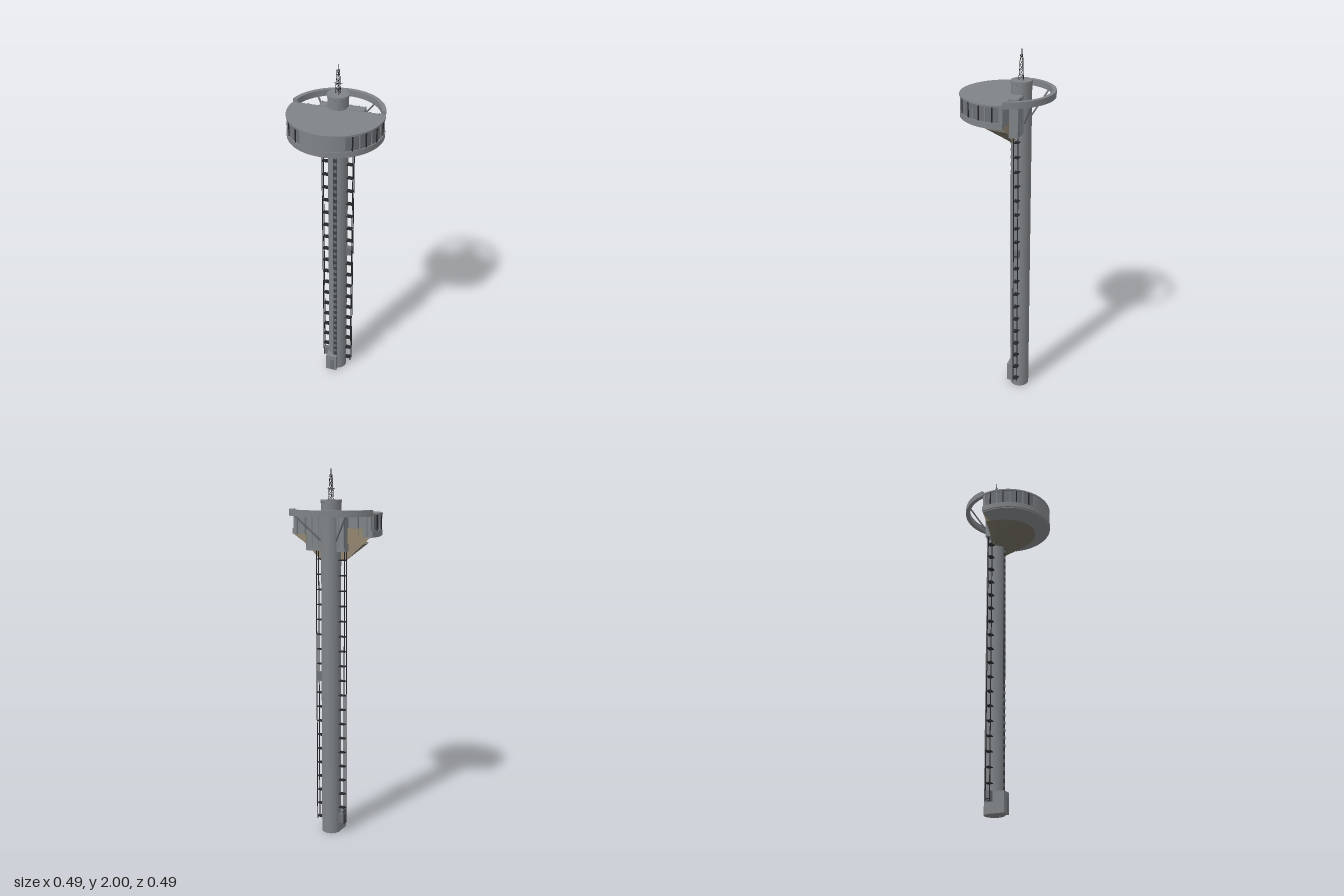
import * as THREE from 'three';
import { toCreasedNormals } from 'three/addons/utils/BufferGeometryUtils.js';

const material = (name, color, side = THREE.FrontSide) => {
  const m = new THREE.MeshStandardMaterial({ color, side });
  m.name = name;
  return m;
};

const CX = -0.01, CZ = -0.07, BACK = -0.05; // shaft axis and the flat back of the cabin

export function createModel() {
  const concrete = material('concrete grey', 0x7f8386);
  const panel = material('window grey', 0x6c7074);
  const dark = material('dark steel', 0x25262a);
  const strip = material('stair window dark', 0x3d4047);
  const under = material('underside brown grey', 0x6f6a60, THREE.DoubleSide);
  const tan = material('tan wall', 0x93866f, THREE.DoubleSide);

  const root = new THREE.Group();
  root.name = 'tower';
  const add = (name, geometry, mat, parent = root) => {
    const mesh = new THREE.Mesh(geometry, mat);
    mesh.name = name;
    parent.add(mesh);
    return mesh;
  };
  const group = (name) => {
    const g = new THREE.Group();
    g.name = name;
    root.add(g);
    return g;
  };
  // Box given by its limits on each axis
  const box = (name, [x0, x1], [y0, y1], [z0, z1], mat, parent) => {
    const mesh = add(name, new THREE.BoxGeometry(x1 - x0, y1 - y0, z1 - z0), mat, parent);
    mesh.position.set((x0 + x1) / 2, (y0 + y1) / 2, (z0 + z1) / 2);
    return mesh;
  };
  // Round bar between two points
  const bar = (name, a, b, r, mat, parent) => {
    const p = new THREE.Vector3(...a), d = new THREE.Vector3(...b).sub(p);
    const mesh = add(name, new THREE.CylinderGeometry(r, r, d.length(), 6), mat, parent);
    mesh.position.copy(p).addScaledVector(d, 0.5);
    mesh.quaternion.setFromUnitVectors(new THREE.Vector3(0, 1, 0), d.normalize());
    return mesh;
  };
  // Flat plan shape raised from y0 to y1 (shape y points to -z)
  const slab = (name, shape, y0, y1, mat) => {
    const g = new THREE.ExtrudeGeometry(shape, { depth: y1 - y0, bevelEnabled: false, curveSegments: 64 });
    g.rotateX(-Math.PI / 2).translate(0, y0, 0);
    return add(name, toCreasedNormals(g, 0.5), mat);
  };
  const cutDisc = (r) => {
    const b = Math.asin(-BACK / r);
    return new THREE.Shape().absarc(0, 0, r, Math.PI - b, 2 * Math.PI + b, false);
  };

  // Shaft and neck
  const profile = [[0, 0], [0.053, 0], [0.053, 1.828], [0.056, 1.83], [0.056, 1.845], [0, 1.845]];
  const shaft = add('shaft', toCreasedNormals(new THREE.LatheGeometry(
    profile.map(([x, y]) => new THREE.Vector2(x, y)), 40), 0.6), concrete);
  shaft.position.set(CX, 0, CZ);

  // Strip of stair windows down the front
  const stairs = group('stairWindows');
  box('windowStrip', [CX - 0.011, CX + 0.011], [0.11, 1.53], [CZ + 0.05, CZ + 0.054], strip, stairs);
  for (let y = 0.14; y < 1.52; y += 0.0413) {
    box('stairPanel', [CX - 0.008, CX + 0.008], [y, y + 0.017], [CZ + 0.053, CZ + 0.056], panel, stairs);
  }

  // Entrance and lift cabins
  box('entrance', [-0.062, 0.003], [0, 0.11], [-0.06, 0.006], concrete);
  box('entranceDoor', [-0.035, -0.015], [0.005, 0.08], [0.004, 0.009], panel);
  box('lowerLift', [-0.094, -0.062], [0.06, 0.11], [-0.083, -0.055], panel);
  box('upperLift', [0.043, 0.073], [0.87, 0.917], [-0.083, -0.055], panel);

  // Lift rails with triangular brackets on both sides
  for (const s of [-1, 1]) {
    const rails = group(s > 0 ? 'leftLiftRails' : 'rightLiftRails');
    const outer = CX + s * 0.085;
    for (const z of [-0.056, -0.08]) {
      box('rail', [outer - 0.002, outer + 0.002], [0.055, 1.6], [z - 0.002, z + 0.002], dark, rails);
    }
    for (let y = 0.065; y < 1.58; y += 0.0815) {
      const arm = new THREE.Shape([
        new THREE.Vector2(CX + s * 0.048, 0.055), new THREE.Vector2(CX + s * 0.048, 0.083),
        new THREE.Vector2(outer, 0.08), new THREE.Vector2(outer, 0.056),
      ]);
      const g = new THREE.ExtrudeGeometry(arm, { depth: 0.005, bevelEnabled: false });
      g.rotateX(-Math.PI / 2).translate(0, y, 0);
      add('bracket', g, dark, rails);
    }
  }

  // Round cabin with wider bands at top and bottom
  slab('cabinBody', cutDisc(0.238), 1.655, 1.77, concrete);
  slab('cabinSill', cutDisc(0.246), 1.66, 1.69, concrete);
  slab('roof', cutDisc(0.247), 1.768, 1.777, concrete);

  // Window panes and posts around the cabin, with a plain wall in front
  const windows = group('cabinWindows');
  for (const s of [-1, 1]) {
    add('windowBand', new THREE.CylinderGeometry(0.24, 0.24, 0.078, 24, 1, true,
      s > 0 ? 0.48 : -1.72, 1.24), panel, windows).position.y = 1.729;
    for (let i = 0; i <= 8; i++) {
      const a = s * (0.48 + i * 0.155);
      const post = add('windowPost', new THREE.BoxGeometry(0.006, 0.08, 0.008), i % 2 ? dark : concrete, windows);
      post.position.set(0.24 * Math.sin(a), 1.729, 0.24 * Math.cos(a));
      post.rotation.y = a;
    }
  }
  add('frontWall', new THREE.CylinderGeometry(0.244, 0.244, 0.08, 20, 1, true, -0.47, 0.94),
    concrete, windows).position.y = 1.729;

  // Half funnel under the cabin, lofted between half ellipses
  const rows = [[0.18, 0.215, 1.62], [0.085, 0.035, 1.537], [0, 0, 1.53]], N = 32;
  const pos = [], index = [];
  rows.forEach(([rx, rz, y], j) => {
    for (let i = 0; i <= N; i++) {
      const t = (i / N - 0.5) * Math.PI;
      pos.push(CX + rx * Math.sin(t), y, BACK + rz * Math.cos(t));
      if (j && i < N) {
        const a = (j - 1) * (N + 1) + i, b = a + N + 1;
        index.push(a, b, a + 1, a + 1, b, b + 1);
      }
    }
  });
  const funnel = new THREE.BufferGeometry();
  funnel.setAttribute('position', new THREE.Float32BufferAttribute(pos, 3));
  funnel.setIndex(index);
  add('funnel', toCreasedNormals(funnel, 0.6), under);

  // Tan wall closing the back of the cabin and funnel
  const wall = new THREE.Shape([[-0.235, 1.66], [-0.185, 1.62], [-0.09, 1.535], [0.07, 1.535], [0.17, 1.62], [0.235, 1.66]]
    .map(([x, y]) => new THREE.Vector2(x, y)));
  add('backWall', new THREE.ShapeGeometry(wall), tan).position.z = BACK;
  const wedge = new THREE.Shape([[-0.185, 0.05], [-0.103, 0.05], [-0.103, 0.06]]
    .map(([x, y]) => new THREE.Vector2(x, y)));
  slab('backWedge', wedge, 1.62, 1.7, tan);

  // Machine rooms beside the shaft
  box('rightBackRoom', [-0.103, CX], [1.58, 1.78], [-0.095, -0.045], concrete);
  box('leftBackRoom', [CX, 0.13], [1.58, 1.78], [-0.095, -0.045], concrete);
  for (const x of [-0.1, -0.07, 0.05, 0.09, 0.127]) {
    box('roomRib', [x - 0.002, x + 0.002], [1.6, 1.782], [-0.097, -0.09], panel);
  }
  for (const x of [-0.21, -0.16, 0.16, 0.21]) {
    box('backPost', [x - 0.003, x + 0.003], [1.66, 1.779], [-0.053, -0.045], panel);
  }

  // Open ring behind the cabin with its struts
  const b = Math.asin(0.05 / 0.247), c = Math.asin(0.05 / 0.225);
  const ring = new THREE.Shape();
  ring.absarc(0, 0, 0.247, b, Math.PI - b, false);
  ring.absarc(0, 0, 0.225, Math.PI - c, c, true);
  slab('backRing', ring, 1.762, 1.795, concrete);
  for (const s of [-1, 1]) {
    bar('ringStrut', [s * 0.15, 1.765, -0.172], [CX + s * 0.045, 1.635, -0.1], 0.005, panel);
  }

  // Lattice mast on the neck
  const mast = group('mast');
  const corner = (k, y) => {
    const r = 0.016 - 0.008 * (y - 1.845) / 0.125, a = k * 2 * Math.PI / 3 + 0.4;
    return [CX + r * Math.sin(a), y, CZ + r * Math.cos(a)];
  };
  for (let k = 0; k < 3; k++) {
    bar('mastLeg', corner(k, 1.845), corner(k, 1.97), 0.0012, dark, mast);
    for (let i = 0; i < 5; i++) {
      const y = 1.845 + i * 0.025;
      bar('mastBrace', corner(k, y), corner(k + 1, y + 0.025), 0.001, dark, mast);
      bar('mastRing', corner(k, y + 0.025), corner(k + 1, y + 0.025), 0.001, dark, mast);
    }
  }
  bar('mastTip', [CX, 1.96, CZ], [CX, 2, CZ], 0.002, dark, mast);
  bar('mastCrossbar', [CX - 0.022, 1.9, CZ], [CX + 0.022, 1.9, CZ], 0.001, dark, mast);

  return root;
}
